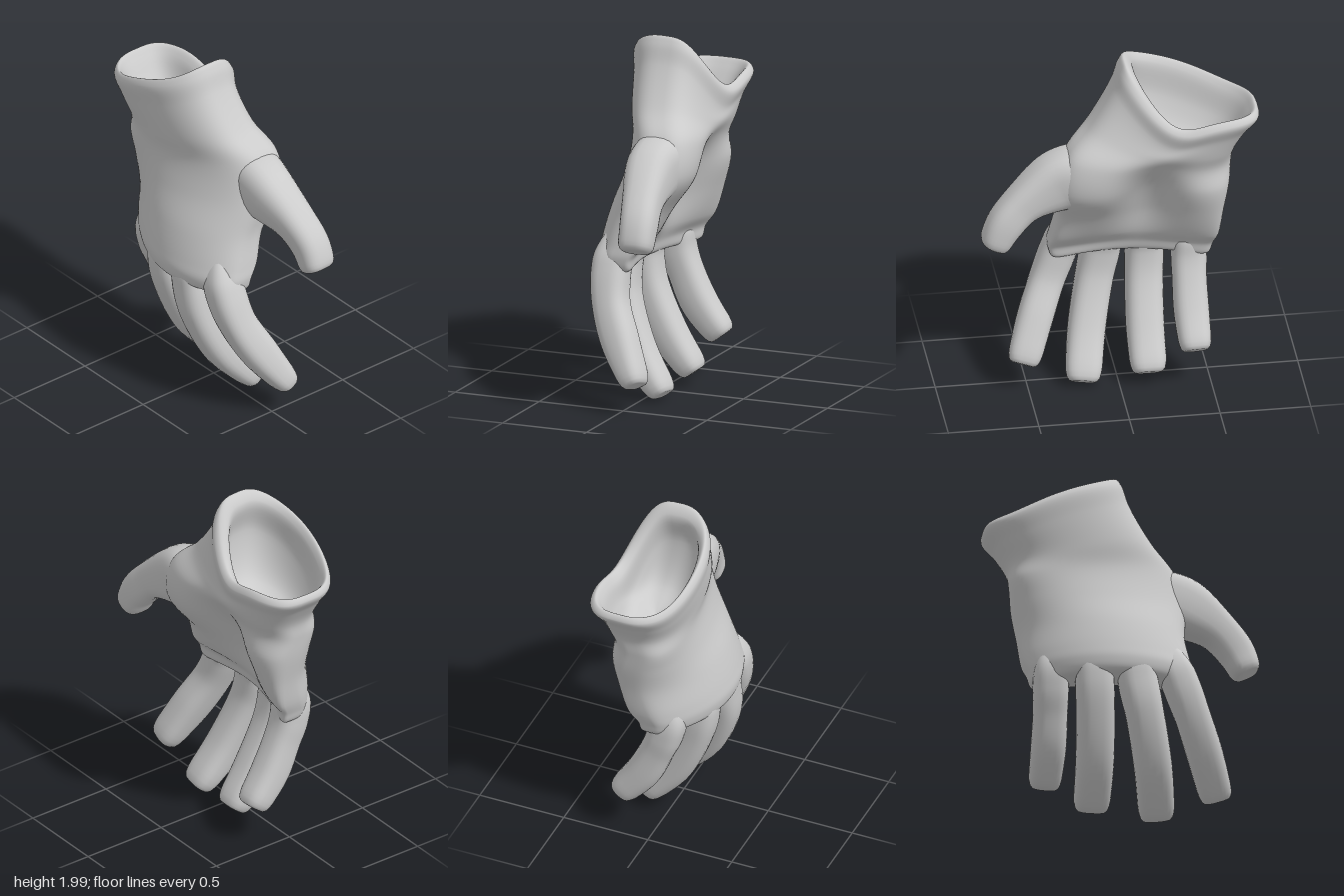
import * as THREE from 'three';

const AROUND = 80;
const V = (x, y, z) => new THREE.Vector3(x, y, z);
const spow = (v, p) => Math.sign(v) * Math.abs(v) ** p;
const gauss = (v, c, w) => Math.exp(-(((v - c) / w) ** 2));

// Smooth skin over a list of closed rings
function skin(name, rings, material) {
  const n = rings[0].length, pos = [], index = [];
  rings.forEach(r => r.forEach(p => pos.push(p.x, p.y, p.z)));
  for (let i = 0; i < rings.length - 1; i++) {
    for (let j = 0; j < n; j++) {
      const a = i * n + j, b = i * n + (j + 1) % n, c = a + n, d = b + n;
      index.push(a, c, b, b, c, d);
    }
  }
  const g = new THREE.BufferGeometry();
  g.setAttribute('position', new THREE.Float32BufferAttribute(pos, 3));
  g.setIndex(index);
  g.computeVertexNormals();
  const mesh = new THREE.Mesh(g, material);
  mesh.name = name;
  return mesh;
}

// Hand section: front and back ends (z, y), back-of-hand and palm x, and shaping.
// slope and dip lower the palm side of the cuff, crease hollows the palm,
// bow arches the knuckles, back and palm set squareness (smaller is squarer).
function handRing([zF, yF, zB, yB, x0, x1, o = {}]) {
  const { skew = 0, slope = 1.4, dip = 0, bow = 0, crease = 0, back = 0.8, palm = 0.55 } = o;
  return Array.from({ length: AROUND }, (_, j) => {
    const t = (j / AROUND) * Math.PI * 2, u = Math.cos(t);
    const s = spow(Math.sin(t), Math.sin(t) > 0 ? palm : back);
    const k = (u + 1) / 2, front = Math.max(s, 0);
    const x = (x0 + x1) / 2 + (s * (x1 - x0)) / 2 + skew * u + bow * u * u
      - crease * front * gauss(u, -0.08, 0.38);
    const rise = k ** (1.4 + ((slope - 1.4) * (s + 1)) / 2);
    const y = yB + (yF - yB) * rise - dip * front * gauss(u, 0.25, 0.45);
    return V(x, y, zB + (zF - zB) * k);
  });
}

// Rows run from the floor of the cuff, up over the rim and down to the knuckles
function hand(material) {
  const rim = { slope: 4.8, dip: 0.06, skew: -0.03 };
  const sections = [
    [-0.3, 1.40, -0.3, 1.40, 0.04, 0.04],
    [-0.13, 1.50, -0.5, 1.42, -0.1, 0.16],
    [-0.06, 1.75, -0.62, 1.53, -0.18, 0.2, { slope: 4, dip: 0.06, skew: -0.02 }],
    [-0.09, 1.94, -0.71, 1.67, -0.195, 0.23, rim],
    [-0.04, 2.0, -0.75, 1.715, -0.225, 0.27, rim],
    [-0.01, 1.96, -0.77, 1.68, -0.25, 0.3, rim],
    [0.03, 1.85, -0.7, 1.58, -0.235, 0.275, { slope: 4, dip: 0.05, skew: -0.02 }],
    [0.16, 1.64, -0.635, 1.46, -0.205, 0.27, { slope: 2, dip: 0.02 }],
    [0.3, 1.49, -0.625, 1.36, -0.18, 0.28, { crease: 0.06, skew: 0.05 }],
    [0.35, 1.28, -0.61, 1.23, -0.205, 0.27, { bow: 0.03, crease: 0.16, skew: 0.03 }],
    [0.335, 1.07, -0.58, 1.07, -0.26, 0.15, { bow: 0.07, crease: 0.12, skew: -0.03 }],
    [0.36, 0.9, -0.555, 0.9, -0.3, 0.03, { bow: 0.12, crease: 0.04, skew: -0.04, back: 0.5, palm: 0.5 }],
    [0.37, 0.82, -0.53, 0.82, -0.31, -0.05, { bow: 0.13, skew: -0.04, back: 0.45, palm: 0.45 }],
    [0.35, 0.755, -0.505, 0.755, -0.29, -0.075, { bow: 0.13, skew: -0.04, back: 0.45, palm: 0.45 }],
    [0.25, 0.735, -0.41, 0.735, -0.22, -0.14, { bow: 0.08, skew: -0.03 }],
  ].map(handRing);
  const steps = 98;
  const columns = sections[0].map((_, j) =>
    new THREE.CatmullRomCurve3(sections.map(r => r[j])).getPoints(steps));
  const rings = Array.from({ length: steps + 1 }, (_, i) => columns.map(c => c[i]));
  const last = rings[steps];
  const middle = last.map((p, j) => {
    const q = last[(last.length - j) % last.length];
    return p.clone().add(q).multiplyScalar(0.5);
  });
  rings.push(middle);
  return skin('handAndCuff', rings, material);
}

// Digit: rows of x, y, z, half width, half depth; blunt rounded tip
function digit(name, rows, hint, material) {
  const path = new THREE.CatmullRomCurve3(rows.map(r => V(r[0], r[1], r[2])));
  const size = new THREE.CatmullRomCurve3(rows.map(r => V(r[3], r[4], 0)), false, 'catmullrom');
  const stops = [[0, 0]];
  for (let i = 0; i <= 34; i++) stops.push([(i / 34) * 0.94, 1]);
  stops.push([0.965, 0.97], [0.985, 0.9], [0.997, 0.76], [1, 0.6], [1, 0]);
  const rings = stops.map(([t, k]) => {
    const c = path.getPoint(t), T = path.getTangent(t), r = size.getPoint(t);
    const S = hint.clone().addScaledVector(T, -T.dot(hint)).normalize();
    const N = S.clone().cross(T);
    return Array.from({ length: 28 }, (_, j) => {
      const a = (j / 28) * Math.PI * 2;
      return c.clone()
        .addScaledVector(S, spow(Math.cos(a), 0.75) * r.x * k)
        .addScaledVector(N, spow(Math.sin(a), 0.75) * r.y * k);
    });
  });
  return skin(name, rings, material);
}

export function createModel() {
  const group = new THREE.Group();
  group.name = 'glove';
  const material = new THREE.MeshStandardMaterial({ color: 0xcccccc });
  group.add(hand(material));

  // Four curled fingers, each tapering into the knuckles
  const fingers = {
    indexFinger: [
      [-0.12, 1.0, 0.2, 0.04, 0.04], [-0.155, 0.83, 0.262, 0.09, 0.1], [-0.158, 0.72, 0.305, 0.1, 0.106],
      [-0.13, 0.57, 0.365, 0.098, 0.1], [-0.04, 0.38, 0.445, 0.1, 0.1], [0.09, 0.165, 0.53, 0.092, 0.07]],
    middleFinger: [
      [-0.15, 1.0, 0.0, 0.04, 0.04], [-0.185, 0.83, 0.04, 0.095, 0.105], [-0.195, 0.71, 0.06, 0.108, 0.106],
      [-0.18, 0.55, 0.095, 0.105, 0.105], [-0.07, 0.28, 0.155, 0.105, 0.1], [0.11, 0.04, 0.2, 0.1, 0.07]],
    ringFinger: [
      [-0.13, 1.0, -0.18, 0.04, 0.04], [-0.165, 0.83, -0.18, 0.095, 0.105], [-0.17, 0.71, -0.178, 0.106, 0.106],
      [-0.135, 0.55, -0.17, 0.105, 0.1], [-0.02, 0.3, -0.16, 0.105, 0.1], [0.14, 0.085, -0.16, 0.1, 0.075]],
    littleFinger: [
      [-0.05, 1.0, -0.4, 0.04, 0.04], [-0.08, 0.83, -0.408, 0.09, 0.1], [-0.065, 0.7, -0.408, 0.098, 0.1],
      [-0.02, 0.58, -0.405, 0.095, 0.095], [0.06, 0.41, -0.405, 0.097, 0.098], [0.195, 0.235, -0.412, 0.088, 0.08]],
  };
  for (const [name, rows] of Object.entries(fingers)) {
    group.add(digit(name, rows, V(0, 0, 1), material));
  }

  // Thumb with its broad base sinking into the palm
  group.add(digit('thumb', [
    [0.1, 1.43, 0.0, 0.04, 0.04], [0.105, 1.4, 0.1, 0.11, 0.11], [0.105, 1.36, 0.21, 0.145, 0.165],
    [0.1, 1.315, 0.35, 0.135, 0.165], [0.13, 1.215, 0.53, 0.108, 0.112], [0.155, 1.1, 0.64, 0.1, 0.1],
    [0.16, 0.97, 0.705, 0.095, 0.082],
  ], V(1, 0, 0), material));

  return group;
}
